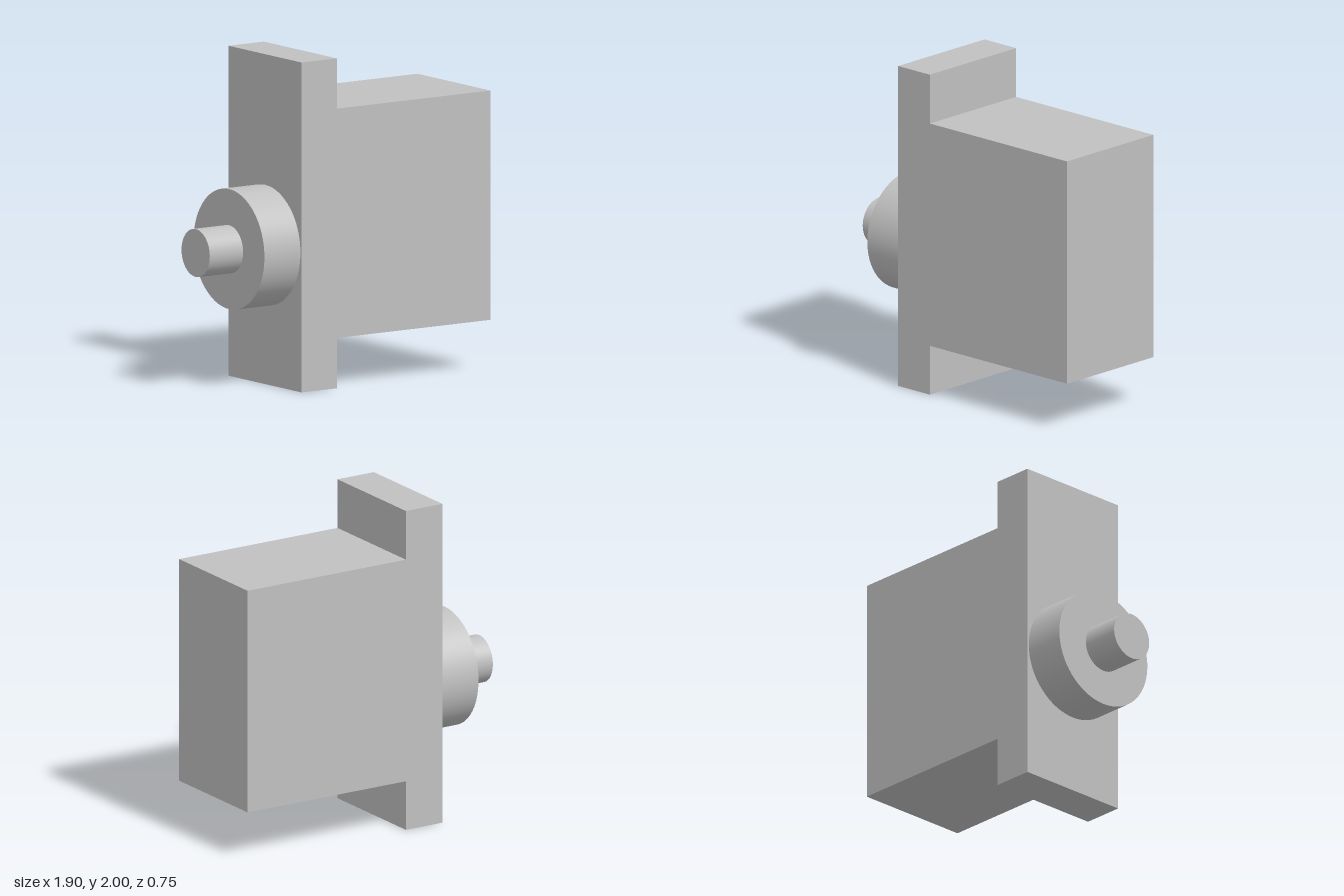
import * as THREE from 'three';

export function createModel() {
  const group = new THREE.Group();
  const grey = new THREE.MeshStandardMaterial({ color: 0xc0c0c0 });
  grey.name = 'grey';

  const add = (name, geometry) => {
    const mesh = new THREE.Mesh(geometry, grey);
    mesh.name = name;
    group.add(mesh);
    return mesh;
  };

  // Housing and flange: one T-shaped profile extruded along z
  const depth = 0.75;
  const profile = new THREE.Shape([
    [-0.44, 0], [-0.18, 0], [-0.18, 0.305], [0.95, 0.305],
    [0.95, 1.695], [-0.18, 1.695], [-0.18, 2], [-0.44, 2],
  ].map(([x, y]) => new THREE.Vector2(x, y)));
  const body = new THREE.ExtrudeGeometry(profile, { depth, bevelEnabled: false });
  body.translate(0, 0, -depth / 2);
  add('flangedHousing', body);

  // Round parts lie along x on a shared axis below the flange centre
  const addRound = (name, radius, x0, x1) => {
    const geometry = new THREE.CylinderGeometry(radius, radius, x1 - x0, 64);
    geometry.rotateZ(Math.PI / 2);
    add(name, geometry).position.set((x0 + x1) / 2, 0.844, 0);
  };
  addRound('boss', 0.364, -0.705, -0.44);
  addRound('shaft', 0.145, -0.95, -0.705);

  return group;
}
